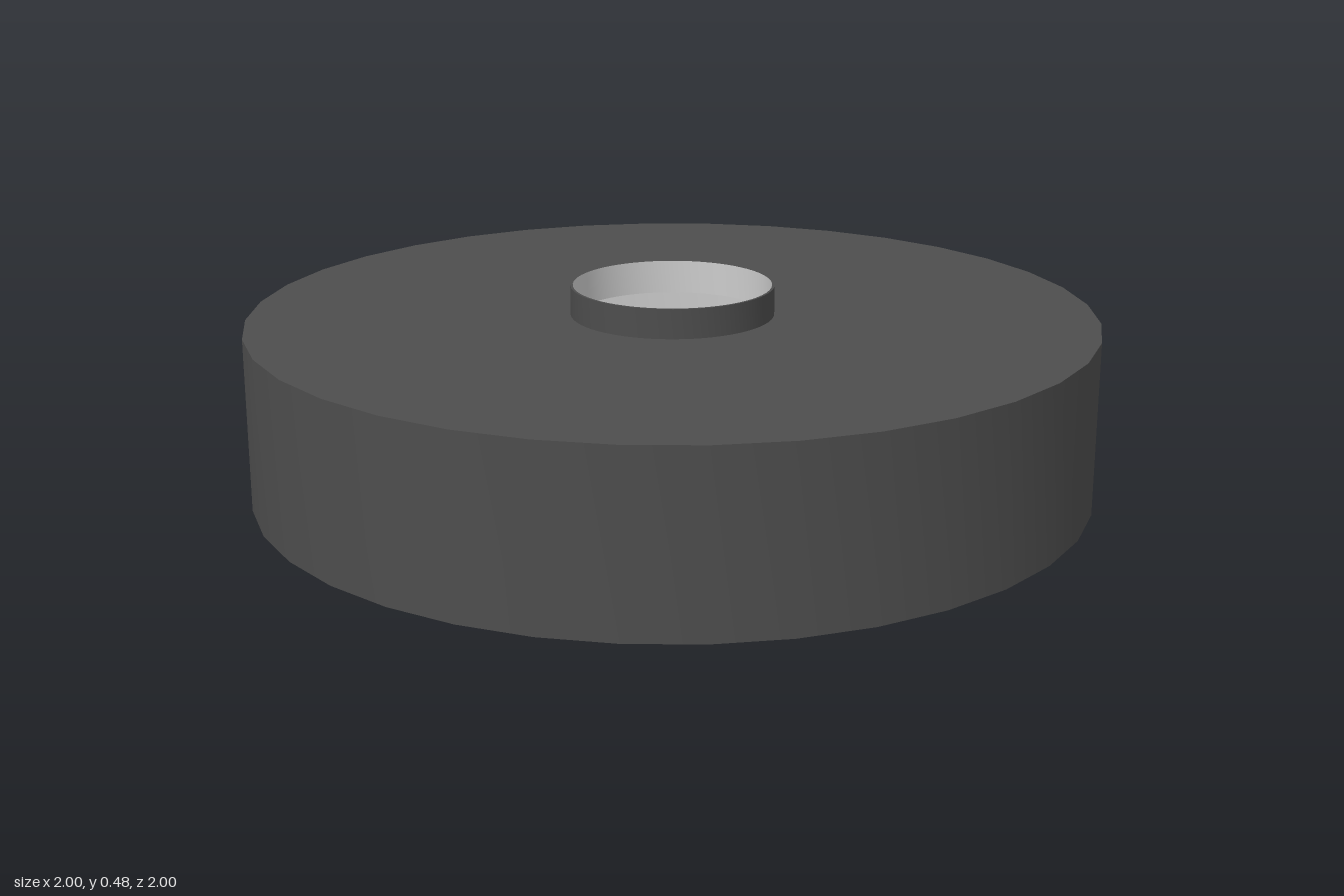
import * as THREE from 'three';
import { toCreasedNormals } from 'three/addons/utils/BufferGeometryUtils.js';

const material = (color) => new THREE.MeshStandardMaterial({ color });

export function createModel() {
  const model = new THREE.Group();
  const dark = material(0x4d4d4d);
  const grey = material(0xcccccc);
  const brass = material(0xc8963c);

  // Turned part from [radius, height] pairs, listed counter-clockwise
  function turn(name, profile, sides, mat) {
    const points = profile.map(([r, y]) => new THREE.Vector2(r, y));
    const geometry = toCreasedNormals(new THREE.LatheGeometry(points, sides), 0.6);
    const mesh = new THREE.Mesh(geometry, mat);
    mesh.name = name;
    model.add(mesh);
  }

  // Hollow round casing with a centre opening
  turn('casing', [[0, 0], [1, 0], [1, 0.41], [0.238, 0.41]], 36, dark);

  // Thin collar around the opening
  turn('collar', [[0.241, 0.405], [0.241, 0.48], [0.235, 0.48]], 64, dark);

  // Pale inside of the collar and of the cavity
  turn('collarLining', [[0.235, 0.48], [0.235, 0.4]], 64, grey);
  turn('cavityLining', [[0.235, 0.4], [0.985, 0.4], [0.985, 0.008]], 36, grey);

  // Brass disc on the cavity floor, with a pale round centre
  turn('brassDisc', [[0.985, 0.012], [0.095, 0.012]], 36, brass);
  turn('discCentre', [[0.095, 0.01], [0.095, 0.02], [0, 0.02]], 36, grey);

  return model;
}
